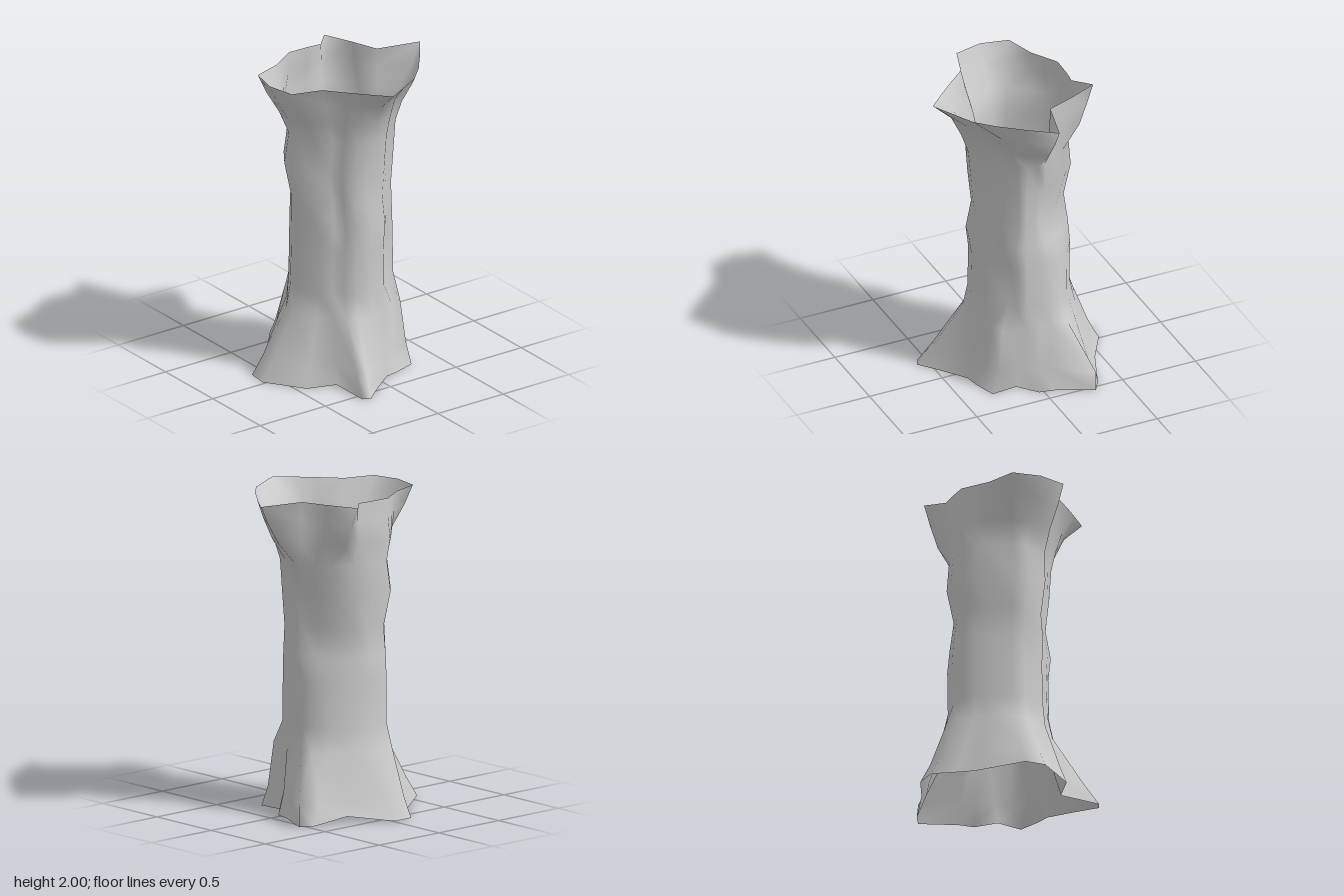
import * as THREE from 'three';

// Cross-sections as [x, z] points, running from +x towards +z.
// A third number lifts that point of the edge.
const foot = [
  [.41, .03], [.29, .13], [.305, .30], [.16, .345], [.07, .36], [-.09, .48], [-.205, .575], [-.255, .55], [-.255, .28], [-.44, .22],
  [-.605, -.02], [-.59, -.15], [-.32, -.36], [-.24, -.46], [-.15, -.58], [-.01, -.58], [.25, -.43, .045], [.46, -.35], [.535, -.30], [.43, -.07]];
const belly = [
  [.31, -.02], [.30, .06], [.29, .12], [.215, .14], [.12, .26], [-.01, .295], [-.10, .275], [-.16, .23], [-.20, .16], [-.29, .13],
  [-.335, -.02], [-.33, -.10], [-.25, -.23], [-.20, -.29], [-.15, -.35], [-.02, -.355], [.11, -.32], [.22, -.25], [.285, -.17], [.31, -.09]];
const waist = [
  [.28, 0], [.285, .06], [.285, .11], [.20, .18], [.11, .26], [-.02, .275], [-.10, .255], [-.15, .205], [-.18, .135], [-.31, .11],
  [-.345, -.02], [-.33, -.10], [-.24, -.23], [-.20, -.28], [-.15, -.33], [-.02, -.33], [.07, -.305], [.17, -.20], [.205, -.11], [.265, -.03]];
const rim = [
  [.60, -.02], [.47, .16], [.36, .30], [.25, .41], [.12, .48], [-.02, .555], [-.12, .45], [-.21, .35], [-.32, .22], [-.51, .16],
  [-.55, -.02], [-.51, -.20], [-.32, -.26], [-.24, -.31], [-.15, -.365], [-.01, -.36], [.08, -.35], [.18, -.45], [.26, -.26], [.32, -.09]];

// Move from section a to b by an amount that depends on the column k
const blend = (a, b, amount) => a.map(([x, z], k) => {
  const t = amount(k);
  return [x + (b[k][0] - x) * t, z + (b[k][1] - z) * t];
});

// Stretch a section so it reaches the given limits on each side
function stretch(points, minX, maxX, minZ, maxZ) {
  const xs = points.map(p => p[0]), zs = points.map(p => p[1]);
  const fit = (v, list, low, high) => v < 0 ? v * low / Math.min(...list) : v * high / Math.max(...list);
  return points.map(([x, z]) => [fit(x, xs, minX, maxX), fit(z, zs, minZ, maxZ)]);
}

function loft(rings) {
  const n = rings[0].points.length;
  const positions = [], index = [];
  for (const { y, points } of rings) for (const [x, z, lift = 0] of points) positions.push(x, y + lift, z);
  for (let i = 0; i < rings.length - 1; i++) {
    for (let k = 0; k < n; k++) {
      const a = i * n + k, c = i * n + (k + 1) % n;
      index.push(a, a + n, c + n, a, c + n, c);
    }
  }
  const geometry = new THREE.BufferGeometry();
  geometry.setAttribute('position', new THREE.Float32BufferAttribute(positions, 3));
  geometry.setIndex(index);
  geometry.computeVertexNormals();
  return geometry;
}

export function createModel() {
  const shin = stretch(belly, -.34, .312, -.355, .30);
  const chest = blend(waist, belly, () => .5);

  // Flare of the foot: the back spur stands upright, a ridge runs down the front left
  const ankle = blend(shin, foot, k => k === 18 ? 1 : .7);
  const knee = blend(shin, foot, k => k > 13 && k < 19 ? .22 : .1);
  knee[2] = [.275, .22];
  knee[3] = [.19, .25];

  // Flare of the rim: early at the pointed lips, late at the front
  const flare = (lips, front, rest) => k => k > 16 || k < 2 ? lips : k > 2 && k < 8 ? front : rest;

  const rings = [
    { y: 0, points: foot },
    { y: .13, points: ankle },
    { y: .42, points: knee },
    { y: .57, points: shin },
    { y: .85, points: stretch(belly, -.33, .31, -.36, .295) },
    { y: 1, points: stretch(chest, -.335, .287, -.35, .315) },
    { y: 1.18, points: stretch(waist, -.345, .285, -.325, .275) },
    { y: 1.4, points: stretch(chest, -.385, .305, -.37, .295) },
    { y: 1.6, points: stretch(chest, -.355, .315, -.35, .315) },
    { y: 1.74, points: blend(stretch(chest, -.355, .315, -.39, .315), rim, flare(.47, .2, .28)) },
    { y: 1.88, points: blend(stretch(chest, -.355, .315, -.37, .315), rim, flare(.79, .48, .72)) },
    { y: 2, points: rim },
  ];

  // Open, uneven hollow column
  const column = new THREE.Mesh(
    loft(rings),
    new THREE.MeshStandardMaterial({ color: 0xcccccc, side: THREE.DoubleSide }));
  column.name = 'hollowRockColumn';

  const group = new THREE.Group();
  group.name = 'rockColumn';
  group.add(column);
  return group;
}
